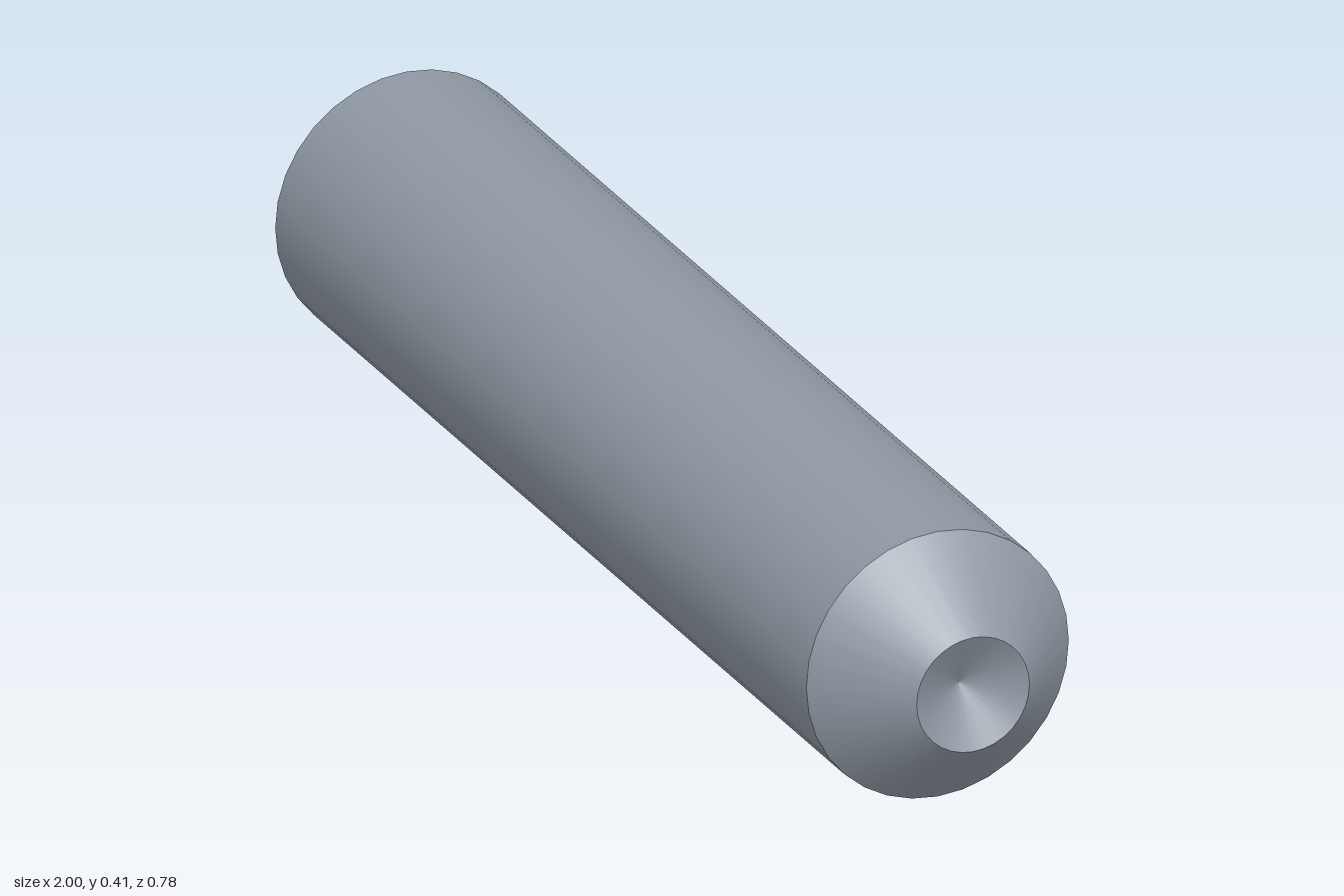
import * as THREE from 'three';

// Headless set screw: chamfered hex-socket end on -x, coned cup point on +x.
const R = 0.207;          // body radius
const REAR = -0.986;      // socket end face
const TIP = 1.004;        // cup rim
const RIM = 0.128;        // socket countersink rim radius
const FLAT = 0.1035;      // half the hex width across flats
const SOCKET = -0.74;     // socket floor
const TAN60 = Math.tan(Math.PI / 3);

// Hexagon radius at an angle, flats facing sideways
function hexRadius(a) {
  const s = Math.PI / 3;
  const local = a - Math.round(a / s) * s;
  return FLAT / Math.cos(local);
}

// Depth at which the hex wall meets the countersink cone
const scallop = (r) => REAR + (RIM - r) / TAN60;

export function createModel() {
  const steel = new THREE.MeshStandardMaterial({ color: 0x8f98a3 });
  steel.name = 'steel';

  const screw = new THREE.Group();
  screw.name = 'setScrew';

  const add = (name, geometry) => {
    geometry.rotateZ(-Math.PI / 2); // lathe axis y becomes the screw axis x
    const mesh = new THREE.Mesh(geometry, steel);
    mesh.name = name;
    screw.add(mesh);
  };

  // One smooth band of the turned profile, [radius, position] to [radius, position]
  const band = (name, from, to) =>
    add(name, new THREE.LatheGeometry([new THREE.Vector2(...from), new THREE.Vector2(...to)], 32));

  band('endFace', [RIM, REAR], [0.164, REAR]);
  band('rearChamfer', [0.164, REAR], [R, -0.943]);
  band('body', [R, -0.943], [R, 0.882]);
  band('pointCone', [R, 0.882], [0.089, TIP]);
  band('cupRecess', [0.089, TIP], [0, TIP - 0.05]);

  // Socket surfaces: a two-ring lathe whose rings are moved onto the given rules
  const socketBand = (name, inner, outer) => {
    const g = new THREE.LatheGeometry([new THREE.Vector2(0.05, 0), new THREE.Vector2(0.1, 1)], 72);
    const p = g.attributes.position;
    for (let i = 0; i < p.count; i++) {
      const a = Math.floor(i / 2) * Math.PI * 2 / 72;
      const [r, y] = (i % 2 ? outer : inner)(hexRadius(a));
      p.setXYZ(i, r * Math.sin(a), y, r * Math.cos(a));
    }
    const flat = g.toNonIndexed();
    flat.computeVertexNormals();
    add(name, flat);
  };

  socketBand('socketFloor', () => [0, SOCKET + 0.05], (h) => [h, SOCKET]);
  socketBand('socketWalls', (h) => [h, SOCKET], (h) => [h, scallop(h)]);
  socketBand('socketCountersink', (h) => [h, scallop(h)], () => [RIM, REAR]);

  // Lying on the ground, turned slightly toward the front
  screw.rotation.y = -THREE.MathUtils.degToRad(12);
  screw.position.set(-0.001, R, 0.006);

  const model = new THREE.Group();
  model.name = 'model';
  model.add(screw);
  return model;
}
